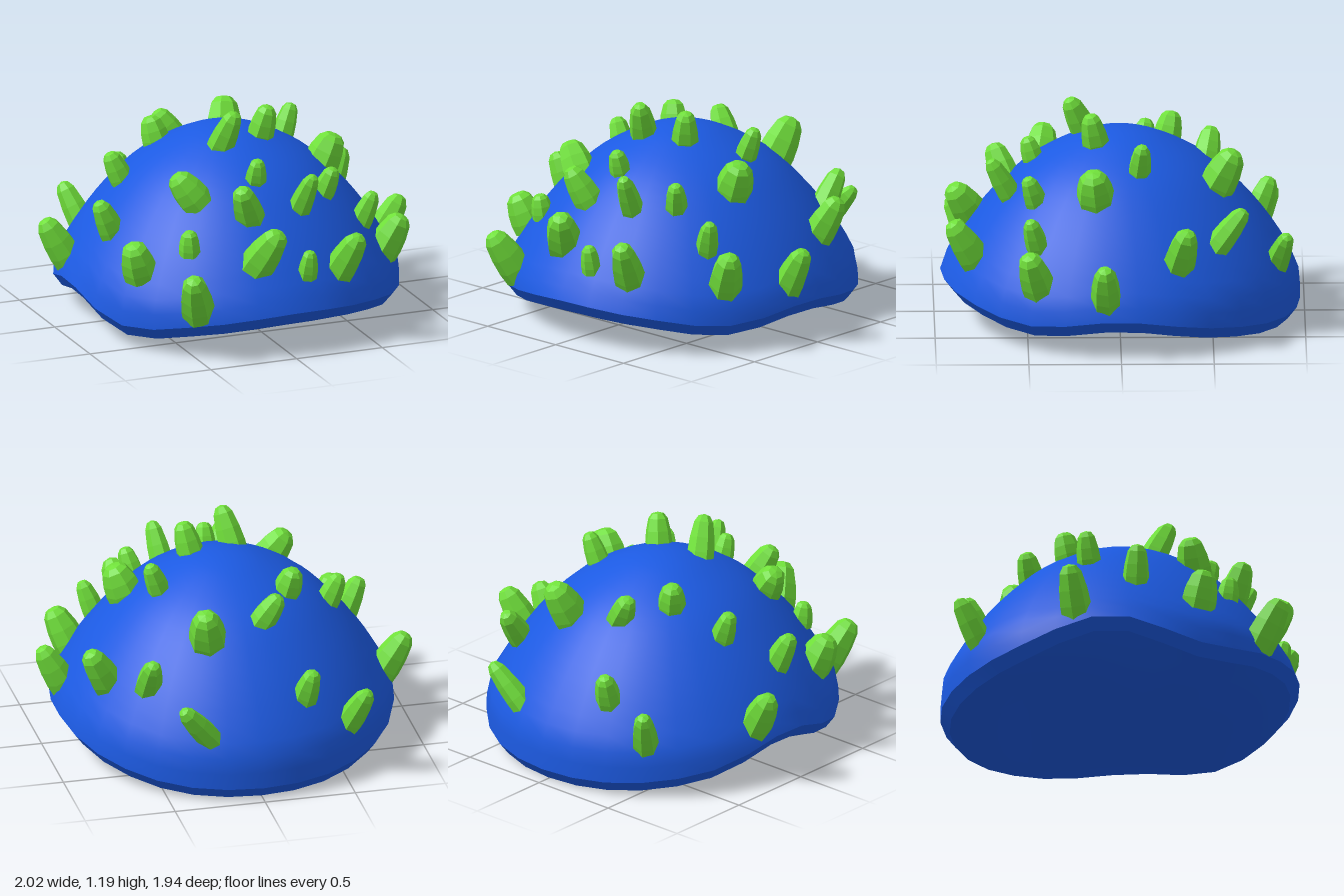
import * as THREE from 'three';
import { mergeVertices } from 'three/addons/utils/BufferGeometryUtils.js';

const SEGMENTS = 30, TOP = 1.04, X_SCALE = 0.957;

// Shell profile as (radius, height), apex to foot
const profile = new THREE.SplineCurve([
  [0, TOP], [0.1, 1.032], [0.22, 1.0], [0.4, 0.915], [0.55, 0.81], [0.7, 0.66],
  [0.82, 0.51], [0.91, 0.37], [0.965, 0.26], [0.975, 0.1], [0.97, 0],
].map(([r, y]) => new THREE.Vector2(r, y))).getPoints(300);

function radiusAt(y) {
  const i = Math.max(1, profile.findIndex((p) => p.y <= y));
  const a = profile[i - 1], b = profile[i];
  return a.x + (b.x - a.x) * (a.y - y) / (a.y - b.y);
}

// Wavy rim height every 30 degrees, starting at the front and turning to +x
const rimHeights = [0.25, 0.22, 0.165, 0.22, 0.15, 0.09, 0.078, 0.09, 0.15, 0.265, 0.14, 0.2];
function rimHeight(a) {
  const n = rimHeights.length, f = a / (2 * Math.PI) * n, i = Math.floor(f), t = f - i;
  const [p, q, r, s] = [-1, 0, 1, 2].map((k) => rimHeights[(i + k + n) % n]);
  return q + 0.5 * t * (r - p + t * (2 * p - 5 * q + 4 * r - s + t * (3 * (q - r) + s - p)));
}

const polar = (a, r, y) => [Math.sin(a) * r * X_SCALE, y, Math.cos(a) * r];

// Closed rings from point(t, angle), with t running 0..1 from ring to ring
function ringSurface(rings, point) {
  const positions = [], index = [];
  for (let i = 0; i <= rings; i++) {
    for (let j = 0; j < SEGMENTS; j++) {
      positions.push(...point(i / rings, j / SEGMENTS * Math.PI * 2));
      if (i === rings) continue;
      const k = (j + 1) % SEGMENTS, u = i * SEGMENTS, v = u + SEGMENTS;
      index.push(u + j, v + j, v + k, u + j, v + k, u + k);
    }
  }
  let geometry = new THREE.BufferGeometry();
  geometry.setAttribute('position', new THREE.Float32BufferAttribute(positions, 3));
  geometry.setIndex(index);
  geometry = mergeVertices(geometry, 1e-5);
  geometry.computeVertexNormals();
  return geometry;
}

function domePoint(t, a) {
  const y = TOP - (TOP - rimHeight(a)) * t ** 1.7;
  return polar(a, radiusAt(y), y);
}

const LIP_INSET = 0.05, LIP_DROP = 0.065;
function lipPoint(t, a) {
  const y = rimHeight(a);
  return polar(a, radiusAt(y) - LIP_INSET * t, y - LIP_DROP * t);
}

// Underside runs from the lip to the centre, with shallow swellings
function undersidePoint(t, a) {
  const s = 1 - t, rim = rimHeight(a);
  const [x, , z] = polar(a, (radiusAt(rim) - LIP_INSET) * s, 0);
  const base = 0.07 - 0.065 * Math.exp(-((x + 0.48) ** 2 + (z - 0.38) ** 2) / 0.12)
    - 0.07 * Math.exp(-((z + 0.8) ** 2) / 0.06);
  return [x, Math.max(0, base + (rim - LIP_DROP - base) * s ** 4), z];
}

// Spikes: tip x, y, z, radius and, where one leans sideways, the swing of its foot
const spikes = [
  [-0.61, 0.52, -0.84, 0.07], [-0.31, 0.66, -0.82, 0.068],
  [0.43, 0.55, -0.9, 0.065, 0.12], [0.24, 0.97, -0.62, 0.1],
  [0.54, 0.73, -0.67, 0.07, -0.1], [0.82, 0.69, -0.36, 0.085],
  [-0.2, 0.98, -0.5, 0.07, -0.13], [-0.33, 1.03, -0.29, 0.075],
  [-0.62, 0.9, -0.15, 0.065], [-0.97, 0.54, -0.22, 0.085],
  [0.43, 1.06, -0.12, 0.06], [0.98, 0.53, 0.09, 0.08],
  [-0.8, 0.73, 0.14, 0.07], [-0.06, 1.18, 0.27, 0.072, -0.28],
  [0.18, 1.16, 0.16, 0.072], [0.57, 0.95, 0.15, 0.1],
  [-0.75, 0.59, 0.5, 0.095], [-0.46, 0.92, 0.4, 0.09, 0.14],
  [-0.02, 0.98, 0.5, 0.057], [0.42, 0.88, 0.5, 0.06],
  [0.66, 0.71, 0.49, 0.06], [0.82, 0.56, 0.5, 0.09],
  [-0.47, 0.67, 0.62, 0.058], [-0.19, 0.89, 0.68, 0.08, 0.08],
  [0.22, 0.92, 0.7, 0.062], [-0.56, 0.49, 0.9, 0.09],
  [-0.06, 0.69, 0.9, 0.095, -0.09], [0.13, 0.56, 0.88, 0.053],
  [0.4, 0.62, 0.91, 0.085],
];

// Foot of a spike: the shell point nearest to just below its tip, swung around
// the shell. Spikes further out stand more upright.
function spikeFoot(x, y, z, swing) {
  const r = Math.hypot(x / X_SCALE, z), target = new THREE.Vector2(r, y - 0.11 * r);
  const foot = profile.reduce((a, b) => (b.distanceTo(target) < a.distanceTo(target) ? b : a));
  return new THREE.Vector3(...polar(Math.atan2(x / X_SCALE, z) + swing, foot.x, foot.y));
}

// Blunt seven-sided spike of unit height and radius, with a sunken root
const spikeGeometry = new THREE.LatheGeometry(
  [[1.02, -0.35], [1.04, 0], [0.95, 0.4], [0.74, 0.82], [0.45, 0.99], [0, 1.04]]
    .map(([r, y]) => new THREE.Vector2(r, y)), 7);

export function createModel() {
  const model = new THREE.Group();
  const blue = new THREE.MeshStandardMaterial({ color: 0x1c5ae2 });
  const green = new THREE.MeshStandardMaterial({ color: 0x70e03a, flatShading: true });

  const add = (name, geometry, material, parent = model) => {
    const mesh = new THREE.Mesh(geometry, material);
    mesh.name = name;
    parent.add(mesh);
    return mesh;
  };

  // Body: domed shell, thin lip and closed underside
  add('shell', ringSurface(18, domePoint), blue);
  add('lip', ringSurface(1, lipPoint), blue);
  add('underside', ringSurface(12, undersidePoint), blue);

  // Spikes standing on the shell
  const spikeGroup = new THREE.Group();
  spikeGroup.name = 'spikes';
  model.add(spikeGroup);
  const up = new THREE.Vector3(0, 1, 0);
  spikes.forEach(([x, y, z, radius, swing = 0], i) => {
    const foot = spikeFoot(x, y, z, swing);
    const axis = new THREE.Vector3(x, y, z).sub(foot);
    const spike = add(`spike${i + 1}`, spikeGeometry, green, spikeGroup);
    spike.position.copy(foot);
    spike.scale.set(radius, axis.length(), radius);
    spike.quaternion.setFromUnitVectors(up, axis.normalize())
      .multiply(new THREE.Quaternion().setFromAxisAngle(up, i * 1.3));
  });
  return model;
}
